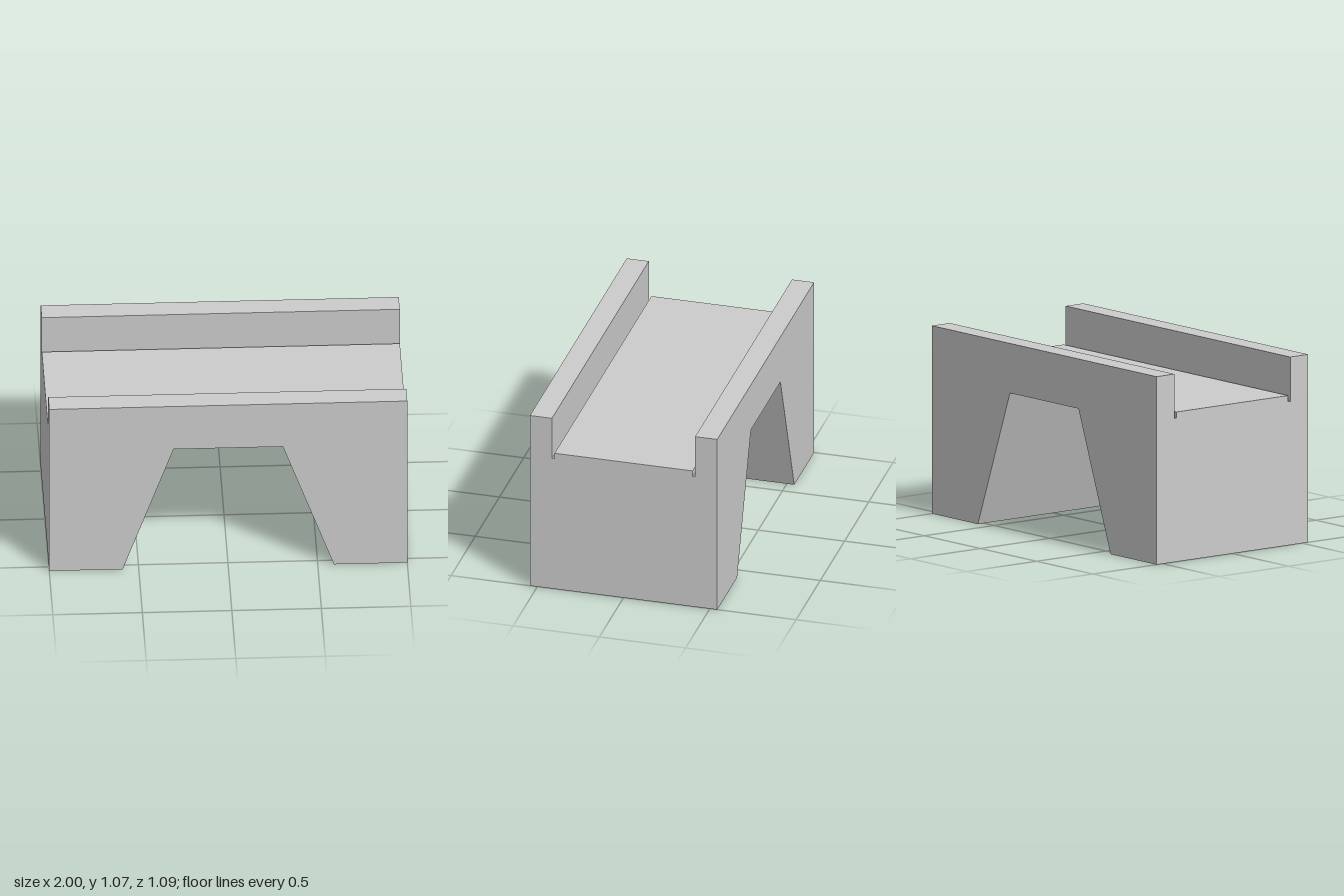
import * as THREE from 'three';

const HALF_LENGTH = 1;
const ARCH_TOP = 0.785;

// Front profile of the bridge: flat top, trapezoid opening between two legs
function profile(top) {
  return new THREE.Shape([
    [-HALF_LENGTH, 0], [-0.59, 0], [-0.305, ARCH_TOP], [0.305, ARCH_TOP],
    [0.59, 0], [HALF_LENGTH, 0], [HALF_LENGTH, top], [-HALF_LENGTH, top],
  ].map(([x, y]) => new THREE.Vector2(x, y)));
}

export function createModel() {
  const model = new THREE.Group();
  model.name = 'bridge';
  const material = new THREE.MeshStandardMaterial({ color: 0xcccccc, flatShading: true });

  // One lengthwise slice of the bridge between two depths
  const slice = (name, top, z0, z1) => {
    const geometry = new THREE.ExtrudeGeometry(profile(top), { depth: z1 - z0, bevelEnabled: false });
    geometry.translate(0, 0, z0);
    const mesh = new THREE.Mesh(geometry, material);
    mesh.name = name;
    model.add(mesh);
  };

  // Roadway in the middle
  slice('deck', 0.85, -0.4, 0.4);

  // Narrow drainage grooves beside the deck, parapet walls outside them
  slice('frontGroove', 0.815, 0.4, 0.415);
  slice('backGroove', 0.815, -0.415, -0.4);
  slice('frontParapet', 1.067, 0.415, 0.543);
  slice('backParapet', 1.067, -0.543, -0.415);

  return model;
}
